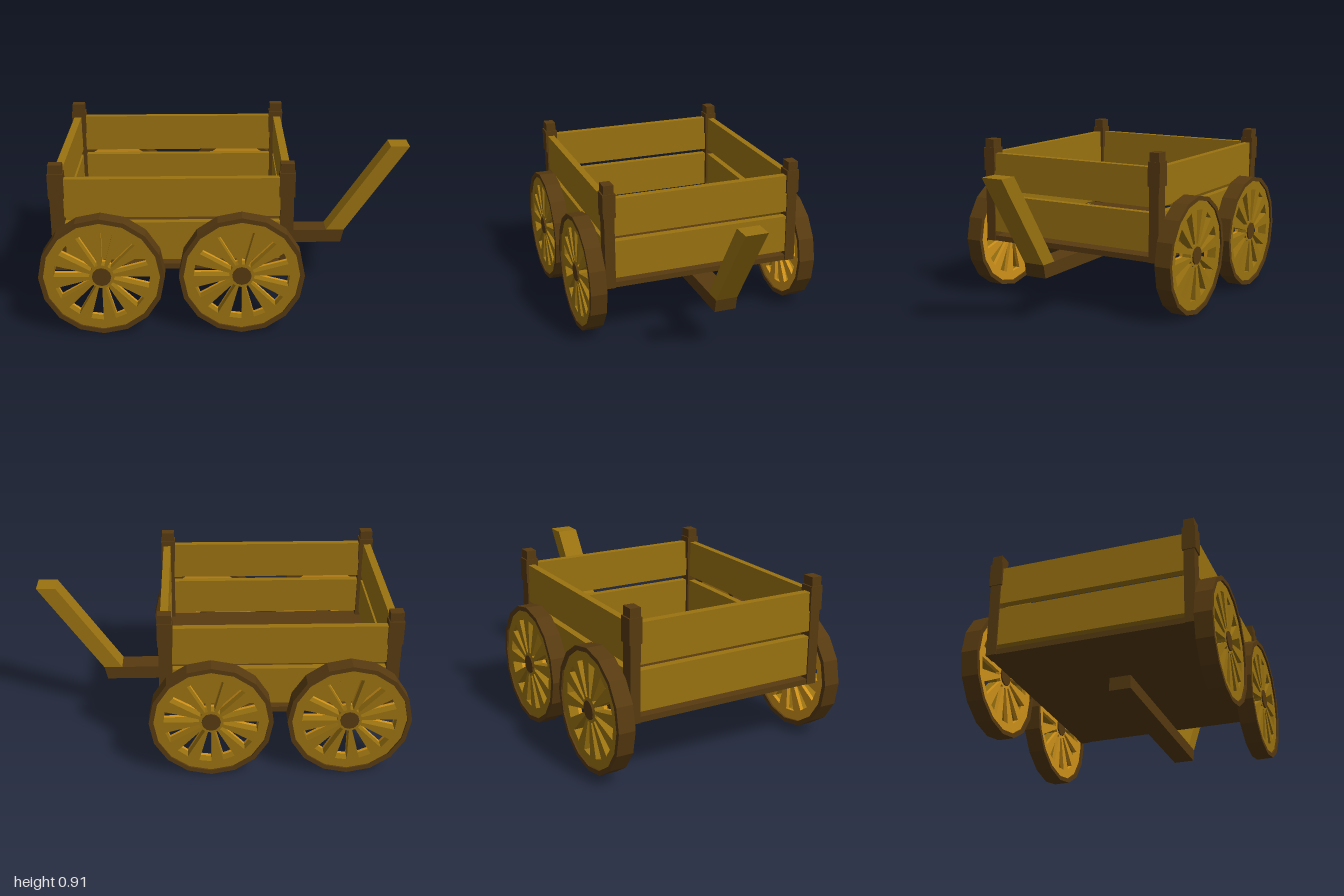
import * as THREE from 'three';

const mat = (color) => new THREE.MeshStandardMaterial({ color, flatShading: true });
const gold = mat(0x9a7210), dark = mat(0x573a10), orange = mat(0xd0921a);

function add(parent, name, geometry, material, x = 0, y = 0, z = 0) {
  const mesh = new THREE.Mesh(geometry, material);
  mesh.name = name;
  mesh.position.set(x, y, z);
  parent.add(mesh);
  return mesh;
}

// Box given by its limits on each axis
function box(parent, name, material, [x0, x1], [y0, y1], [z0, z1]) {
  return add(parent, name, new THREE.BoxGeometry(x1 - x0, y1 - y0, z1 - z0), material,
    (x0 + x1) / 2, (y0 + y1) / 2, (z0 + z1) / 2);
}

const polar = (r, deg) => {
  const a = THREE.MathUtils.degToRad(deg);
  return new THREE.Vector2(r * Math.cos(a), r * Math.sin(a));
};
const ring = (r, sides = 16) =>
  Array.from({ length: sides }, (_, i) => polar(r, (i * 360) / sides));

// Extrusion centred on z = 0
function extrude(points, holes, depth) {
  const shape = new THREE.Shape(points);
  holes.forEach((h) => shape.holes.push(new THREE.Path(h)));
  return new THREE.ExtrudeGeometry(shape, { depth, bevelEnabled: false }).translate(0, 0, -depth / 2);
}

// Wheel facing +z: dark tyre, pierced disc with twelve tapered spokes, hub
function makeWheel() {
  const wheel = new THREE.Group();
  wheel.name = 'wheel';
  const slots = [];
  for (let i = 0; i < 12; i++) {
    const a = i * 30;
    slots.push([polar(0.065, a - 15), polar(0.25, a - 15), polar(0.25, a), polar(0.065, a)]);
  }
  add(wheel, 'tyre', extrude(ring(0.327), [ring(0.303)], 0.09), dark);
  add(wheel, 'spokes', extrude(ring(0.304), slots, 0.05), gold, 0, 0, 0.01);
  add(wheel, 'innerSpokes', extrude(ring(0.304), slots, 0.02), orange, 0, 0, -0.025);
  add(wheel, 'hub', new THREE.CylinderGeometry(0.05, 0.05, 0.084, 12).rotateX(Math.PI / 2), dark);
  return wheel;
}

export function createModel() {
  const cart = new THREE.Group();
  cart.name = 'cart';

  box(cart, 'floor', dark, [-0.925, 0.315], [0.325, 0.355], [-0.55, 0.55]);

  // Two rows of planks on all four sides
  for (const rows of [[0.38, 0.59], [0.62, 0.83]]) {
    for (const s of [1, -1]) {
      box(cart, 'sidePlank', gold, [-0.9, 0.29], rows, s > 0 ? [0.51, 0.548] : [-0.548, -0.51]);
    }
    box(cart, 'endPlank', gold, [-0.922, -0.88], rows, [-0.53, 0.53]);
    box(cart, 'endPlank', gold, [0.272, 0.314], rows, [-0.53, 0.53]);
  }

  // Corner posts with collars
  for (const x of [-0.895, 0.287]) {
    for (const z of [0.527, -0.527]) {
      box(cart, 'post', dark, [x - 0.035, x + 0.035], [0.325, 0.908], [z - 0.028, z + 0.028]);
      box(cart, 'postCollar', dark, [x - 0.04, x + 0.04], [0.73, 0.86], [z - 0.035, z + 0.035]);
    }
  }

  // Wheels, those at the back turned round
  for (const x of [-0.673, 0.053]) {
    for (const s of [1, -1]) {
      const wheel = makeWheel();
      wheel.position.set(x, 0.327, s * 0.61);
      if (s < 0) wheel.rotation.y = Math.PI;
      cart.add(wheel);
    }
  }

  // Draw beam under the floor and its slanted handle
  const v = (x, y) => new THREE.Vector2(x, y);
  add(cart, 'drawBeam', extrude([v(-0.48, 0.25), v(0.635, 0.25), v(0.652, 0.325), v(-0.48, 0.325)], [], 0.12), dark);
  add(cart, 'handle', extrude([v(0.55, 0.325), v(0.652, 0.325), v(1, 0.825), v(0.895, 0.825)], [], 0.12), gold);

  return cart;
}
